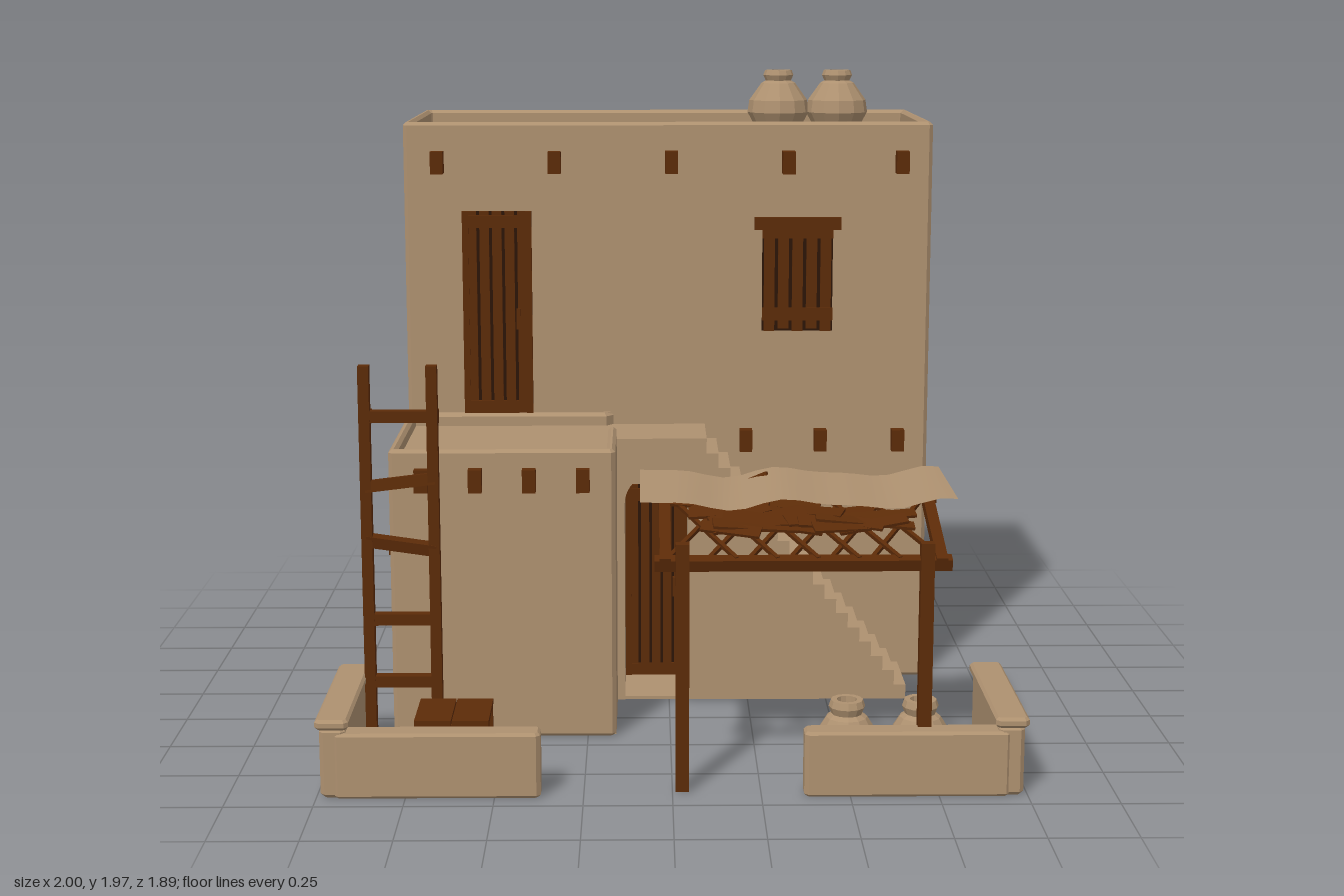
import * as THREE from 'three';

const mat = (name, color) => Object.assign(new THREE.MeshStandardMaterial({ color }), { name });

export function createModel() {
  const root = new THREE.Group();
  root.name = 'adobeHouse';
  const clay = mat('clay', 0xae9170);
  const wood = mat('wood', 0x5c2b08);
  const gap = mat('darkGap', 0x2c1506);
  const cloth = mat('cloth', 0xae9170);
  cloth.side = THREE.DoubleSide;

  const add = (parent, name, geo, m) => {
    const mesh = new THREE.Mesh(geo, m);
    mesh.name = name;
    parent.add(mesh);
    return mesh;
  };
  const group = (name, parent = root) => {
    const g = new THREE.Group();
    g.name = name;
    parent.add(g);
    return g;
  };
  // Box given by its min and max on each axis
  const box = (parent, name, m, x0, x1, y0, y1, z0, z1) => {
    const mesh = add(parent, name, new THREE.BoxGeometry(x1 - x0, y1 - y0, z1 - z0), m);
    mesh.position.set((x0 + x1) / 2, (y0 + y1) / 2, (z0 + z1) / 2);
  };
  // Square wooden stick between two points
  const stick = (parent, name, a, b, t) => {
    const p = new THREE.Vector3(...a), dir = new THREE.Vector3(...b).sub(p);
    const mesh = add(parent, name, new THREE.BoxGeometry(t, t, dir.length()), wood);
    mesh.position.copy(p).addScaledVector(dir, 0.5);
    mesh.quaternion.setFromUnitVectors(new THREE.Vector3(0, 0, 1), dir.normalize());
  };
  // Chamfered prism standing on a ground plan of [x, z] points
  const prism = (parent, name, plan, y0, y1, hole, b = 0.012) => {
    const v = (pts) => pts.map(([x, z]) => new THREE.Vector2(x, -z));
    const shape = new THREE.Shape(v(plan));
    if (hole) shape.holes.push(new THREE.Path(v(hole)));
    const geo = new THREE.ExtrudeGeometry(shape, {
      depth: y1 - y0 - 2 * b, bevelThickness: b, bevelSize: b, bevelOffset: -b, bevelSegments: 1,
    });
    geo.rotateX(-Math.PI / 2).translate(0, y0 + b, 0);
    add(parent, name, geo, clay);
  };
  // Rectangle plan with cut corners
  const rect = (x0, x1, z0, z1, c = 0.012) => [
    [x0 + c, z1], [x1 - c, z1], [x1, z1 - c], [x1, z0 + c],
    [x1 - c, z0], [x0 + c, z0], [x0, z0 + c], [x0, z1 - c],
  ];

  // Tall main house: walls with parapet, roof slab inside
  const house = group('house');
  prism(house, 'mainWalls', rect(-0.838, 0.838, -0.892, -0.17), 0, 1.82, rect(-0.812, 0.812, -0.866, -0.196, 0.004), 0.01);
  box(house, 'mainRoof', clay, -0.82, 0.82, 0.001, 1.77, -0.875, -0.185);

  // Low wing with a parapet left open toward the landing
  prism(house, 'wingWalls', [
    [-0.826, 0.424], [-0.176, 0.424], [-0.164, 0.412], [-0.164, 0.07], [-0.19, 0.07], [-0.19, 0.398],
    [-0.812, 0.398], [-0.812, -0.142], [-0.2, -0.142], [-0.164, -0.185], [-0.838, -0.185], [-0.838, 0.412],
  ], 0, 0.89, null, 0.01);
  box(house, 'wingRoof', clay, -0.82, -0.164, 0.001, 0.85, -0.175, 0.405);

  // Landing and staircase with an archway beneath
  const profile = new THREE.Shape();
  profile.moveTo(-0.175, 0).lineTo(-0.14, 0).lineTo(-0.14, 0.64);
  profile.absarc(-0.04, 0.64, 0.1, Math.PI, 0, true);
  profile.lineTo(0.06, 0).lineTo(0.755, 0);
  const steps = 18, rise = 0.85 / steps, run = 0.675 / steps;
  for (let i = 0; i < steps; i++) {
    profile.lineTo(0.755 - i * run, (i + 1) * rise);
    if (i < steps - 1) profile.lineTo(0.755 - (i + 1) * run, (i + 1) * rise);
  }
  profile.lineTo(-0.175, 0.85);
  const stairGeo = new THREE.ExtrudeGeometry(profile, { depth: 0.245, bevelEnabled: false, curveSegments: 10 });
  add(house, 'stairs', stairGeo.translate(0, 0, -0.175), clay);
  box(house, 'archFloor', clay, -0.15, 0.07, 0.001, 0.01, -0.175, 0.068);

  // Roof beam ends
  const beams = group('beamEnds');
  const beam = (x, y, z0, z1) => box(beams, 'beamEnd', wood, x - 0.02, x + 0.02, y - 0.035, y + 0.035, z0, z1);
  [-0.73, -0.36, 0.01, 0.38, 0.74].forEach((x, i) => {
    beam(x, 1.695, -0.18, i === 3 ? -0.11 : -0.125);
    beam(x, 1.695, i === 4 ? -0.95 : -0.925, -0.88);
  });
  [-0.74, -0.58, -0.42, -0.26].forEach((x) => {
    beam(x, 0.8, 0.41, 0.455);
    beam(x, 0.8, -0.925, -0.88);
  });
  [0.25, 0.49, 0.74].forEach((x) => beam(x, 0.8, -0.18, -0.13));
  [0.01, 0.25, 0.49, 0.74].forEach((x) => beam(x, 0.8, -0.93, -0.88));

  // Planked shutters and doors; each faces local +z from the wall plane
  const panel = (name, x, y, z, turn, w, h, isDoor) => {
    const g = group(name);
    g.position.set(x, y, z);
    g.rotation.y = turn;
    box(g, 'backing', gap, -w / 2, w / 2, 0, h, -0.004, 0.004);
    const n = 5, pitch = w / n;
    for (let i = 0; i < n; i++) {
      const cx = -w / 2 + pitch * (i + 0.5), dip = isDoor ? 0 : (i % 2) * 0.008;
      box(g, 'plank', wood, cx - pitch * 0.38, cx + pitch * 0.38, dip, h - dip, 0, 0.012);
    }
    for (const f of isDoor ? [0.03, 0.95] : [0.15, 0.87]) {
      box(g, 'crossbar', wood, -w / 2, w / 2, f * h - 0.02, f * h + 0.02, 0, isDoor ? 0.014 : 0.016);
    }
    if (isDoor) {
      for (const s of [-1, 1]) box(g, 'frame', wood, s * w / 2 - 0.01, s * w / 2 + 0.01, 0, h, 0, 0.016);
      box(g, 'handle', wood, w * 0.3, w * 0.36, h * 0.42, h * 0.52, 0, 0.022);
    } else {
      box(g, 'lintel', wood, -w / 2 - 0.025, w / 2 + 0.025, h - 0.04, h, 0, 0.019);
    }
  };
  const q = Math.PI / 2;
  panel('upperDoor', -0.545, 0.89, -0.17, 0, 0.2, 0.65, true);
  panel('archDoor', -0.04, 0.01, -0.17, 0, 0.18, 0.64, true);
  panel('sideDoor', 0.838, 0.01, -0.535, q, 0.18, 0.645, true);
  panel('frontWindow', 0.412, 1.155, -0.17, 0, 0.225, 0.365, false);
  panel('rightWindow', 0.838, 1.155, -0.535, q, 0.2, 0.365, false);
  panel('backUpperWindow', -0.54, 1.155, -0.892, 2 * q, 0.225, 0.365, false);
  panel('backLowerWindow', 0.26, 0.21, -0.892, 2 * q, 0.225, 0.365, false);
  panel('leftRearWindow', -0.838, 0.21, -0.5, -q, 0.2, 0.365, false);
  panel('leftWingWindow', -0.838, 0.21, 0.165, -q, 0.2, 0.365, false);

  // Yard walls, mirrored, with capped side walls
  const yard = group('yardWalls');
  for (const s of [-1, 1]) {
    const span = (a, b, z0, z1) => (s > 0 ? rect(a, b, z0, z1) : rect(-b, -a, z0, z1));
    prism(yard, 'sideWall', span(0.915, 0.988, 0.42, 0.938), 0, 0.205);
    prism(yard, 'sideCap', span(0.905, 1, 0.41, 0.944), 0.2, 0.23, null, 0.008);
    prism(yard, 'frontWall', span(0.37, 0.95, 0.87, 0.944), 0, 0.19, null, 0.008);
  }

  // Faceted clay jars
  const jarProfile = [[0, 0], [0.07, 0], [0.102, 0.06], [0.096, 0.1], [0.056, 0.156], [0.042, 0.164],
    [0.05, 0.182], [0.044, 0.198], [0.028, 0.198], [0.026, 0.17], [0, 0.165]];
  const jarGeo = new THREE.LatheGeometry(jarProfile.map((p) => new THREE.Vector2(...p)), 12).toNonIndexed();
  jarGeo.computeVertexNormals();
  [[0.37, 1.77, -0.57, 1], [0.565, 1.77, -0.57, 1], [0.5, 0, 0.79, 1.2], [0.71, 0, 0.79, 1.2]].forEach(([x, y, z, s]) => {
    const jar = add(root, 'jar', jarGeo, clay);
    jar.position.set(x, y, z);
    jar.scale.set(s > 1 ? 1.05 : 1, s, s > 1 ? 1.05 : 1);
  });

  // Ladder with crooked rungs and two pegs
  const ladder = group('ladder');
  for (const x of [-0.892, -0.695]) {
    box(ladder, 'pole', wood, x - 0.016, x + 0.016, 0, 1.16, 0.5, 0.533);
    box(ladder, 'peg', wood, x - 0.014, x + 0.014, 0.98, 1.02, 0.45, 0.505);
  }
  [[0.21, 0.21], [0.4, 0.4], [0.64, 0.61], [0.8, 0.825], [1.01, 1.01]].forEach(([a, b]) =>
    stick(ladder, 'rung', [-0.895, a, 0.515], [-0.69, b, 0.515], 0.034));

  // Wooden crate
  const crate = group('crate');
  box(crate, 'crateBody', wood, -0.72, -0.53, 0, 0.185, 0.67, 0.85);
  for (const x of [-0.73, -0.623]) box(crate, 'lidBoard', wood, x, x + 0.104, 0.185, 0.2, 0.66, 0.86);
  for (const x of [-0.73, -0.54]) for (const z of [0.66, 0.84])
    box(crate, 'cornerPost', wood, x, x + 0.02, 0, 0.185, z, z + 0.02);

  // Awning: two posts, sloping lattice and loose brush
  const awning = group('awning');
  for (const x of [0.028, 0.71]) box(awning, 'post', wood, x - 0.019, x + 0.019, 0, 0.72, 0.862, 0.896);
  const frame = group('slopingFrame', awning);
  frame.position.set(0, 0.66, 0.87);
  frame.rotation.x = 0.29;
  for (const z of [0, -0.38]) stick(frame, 'rail', [-0.05, 0, z], [0.78, 0, z], 0.034);
  for (const x of [-0.02, 0.75]) stick(frame, 'sideRail', [x, 0.01, 0.02], [x, 0.01, -0.39], 0.032);
  for (let i = 0; i < 6; i++) {
    const x = -0.02 + i * 0.114;
    stick(frame, 'lattice', [x, 0.006, 0], [x + 0.2, 0.006, -0.38], 0.012);
    stick(frame, 'lattice', [x + 0.2, 0.014, 0], [x, 0.014, -0.38], 0.012);
  }
  let seed = 7;
  const rnd = () => (seed = (seed * 16807) % 2147483647) / 2147483647;
  for (let i = 0; i < 22; i++) {
    const board = add(frame, 'brush', new THREE.BoxGeometry(0.16 + rnd() * 0.14, 0.008, 0.035 + rnd() * 0.03), wood);
    const back = rnd();
    board.position.set(0.13 + rnd() * 0.47, 0.045 - back * 0.018, -0.08 - back * 0.22);
    board.rotation.set((rnd() - 0.5) * 0.2, (rnd() - 0.5) * 0.9, (rnd() - 0.5) * 0.2);
  }

  // Wavy cloth on top
  const sheet = new THREE.PlaneGeometry(0.88, 0.42, 18, 1).rotateX(-q).translate(0.35, 0, 0.68);
  const pos = sheet.attributes.position;
  for (let i = 0; i < pos.count; i++) {
    const x = pos.getX(i);
    pos.setY(i, 0.832 + 0.012 * Math.sin(x * 15 + 2.6) + 0.006 * Math.sin(x * 27));
  }
  sheet.computeVertexNormals();
  add(awning, 'clothSheet', sheet, cloth);
  stick(awning, 'pokingTwig', [0.21, 0.81, 0.53], [0.28, 0.845, 0.555], 0.014);

  return root;
}
